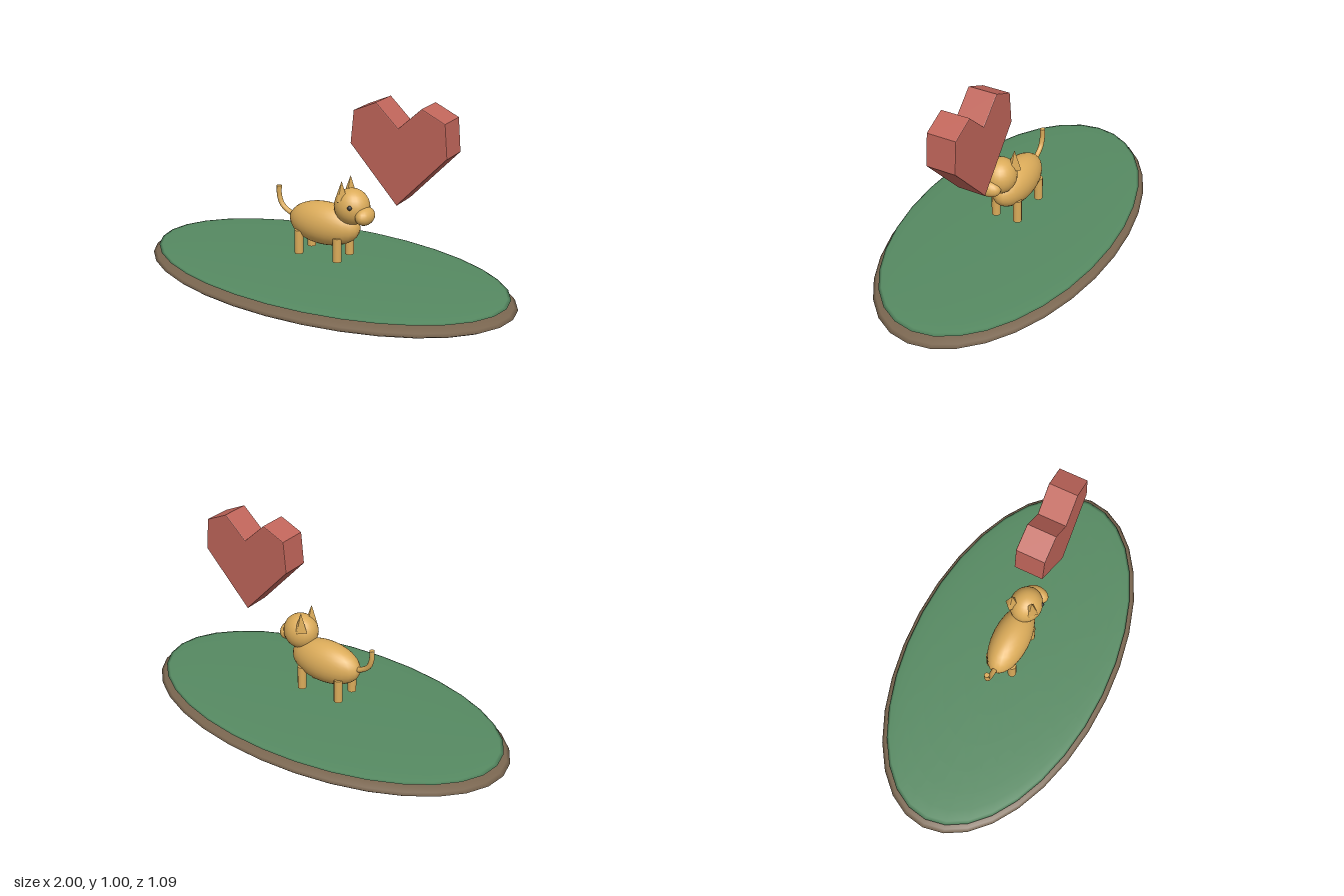
import * as THREE from 'three';

const material = (name, color) => {
  const m = new THREE.MeshStandardMaterial({ color });
  m.name = name;
  return m;
};

export function createModel() {
  const model = new THREE.Group();
  model.name = 'dogWithHeart';
  const earth = material('earthBrown', 0x7a6650);
  const grass = material('grassGreen', 0x568a62);
  const fur = material('tanFur', 0xdcac5a);
  const red = material('heartRed', 0xc0655a);
  const dark = material('eyeGrey', 0x3a3836);

  const add = (parent, name, geometry, mat, x = 0, y = 0, z = 0) => {
    const mesh = new THREE.Mesh(geometry, mat);
    mesh.name = name;
    mesh.position.set(x, y, z);
    parent.add(mesh);
    return mesh;
  };
  const ellipsoid = (rx, ry, rz, w = 32, h = 16) =>
    new THREE.SphereGeometry(1, w, h).scale(rx, ry, rz);

  // Flattened island: soil with a thinner disc of grass on top
  add(model, 'soil', ellipsoid(1, 0.055, 0.545), earth, 0, 0.057, 0);
  add(model, 'grass', ellipsoid(0.965, 0.02, 0.52), grass, 0, 0.101, 0);

  // Dog, facing +x
  const dog = new THREE.Group();
  dog.name = 'dog';
  model.add(dog);
  add(dog, 'body', ellipsoid(0.195, 0.108, 0.094, 24, 16), fur, -0.003, 0.331, 0);
  add(dog, 'head', ellipsoid(0.09, 0.09, 0.082, 24, 16), fur, 0.154, 0.449, 0.006);
  add(dog, 'snout', ellipsoid(0.043, 0.044, 0.064, 20, 12), fur, 0.235, 0.419, 0.023);
  add(dog, 'eye', ellipsoid(0.012, 0.012, 0.012, 12, 8), dark, 0.182, 0.466, 0.078);

  for (const side of [1, -1]) {
    // Pointed ear
    add(dog, 'ear', new THREE.ConeGeometry(0.037, 0.1, 4), fur, 0.117 + 0.004 * side, 0.533, 0.05 * side);
    // Front and back legs
    for (const [name, x] of [['frontLeg', 0.103], ['backLeg', -0.116]]) {
      add(dog, name, new THREE.CylinderGeometry(0.022, 0.022, 0.122, 12), fur, x, 0.231, 0.06 * side);
    }
  }

  // Upturned tail with a closed tip
  const tailPath = new THREE.CatmullRomCurve3([
    new THREE.Vector3(-0.16, 0.34, 0),
    new THREE.Vector3(-0.205, 0.35, 0),
    new THREE.Vector3(-0.25, 0.382, 0),
    new THREE.Vector3(-0.267, 0.425, 0),
    new THREE.Vector3(-0.268, 0.478, 0),
  ]);
  add(dog, 'tail', new THREE.TubeGeometry(tailPath, 16, 0.013, 10), fur);
  add(dog, 'tailTip', new THREE.CircleGeometry(0.013, 10).rotateX(-Math.PI / 2), fur, -0.268, 0.478, 0);

  // Floating faceted heart with a fine bevel
  const half = [[0.115, 1.0], [0.232, 0.947], [0.247, 0.787]];
  const outline = [
    [0, 0.523],
    ...[...half].reverse(),
    [0, 0.893],
    ...half.map(([x, y]) => [-x, y]),
  ].map(([x, y]) => new THREE.Vector2(x, y));
  const bevel = 0.004;
  const heart = new THREE.ExtrudeGeometry(new THREE.Shape(outline), {
    depth: 0.146 - 2 * bevel,
    bevelThickness: bevel,
    bevelSize: bevel,
    bevelOffset: -bevel,
    bevelSegments: 2,
  });
  add(model, 'heart', heart, red, 0.427, 0, -0.073 + bevel);

  return model;
}
